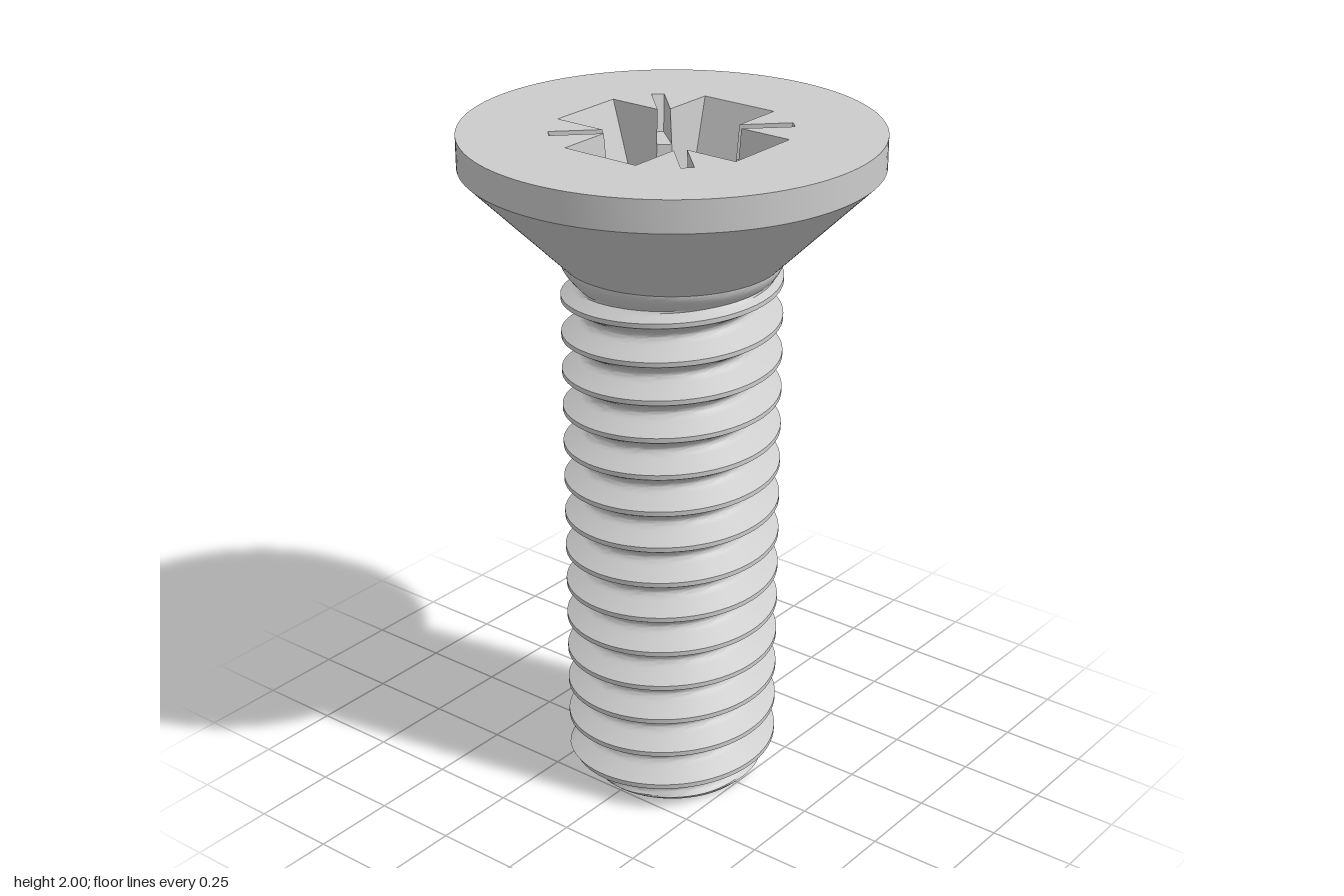
import * as THREE from 'three';
import { toCreasedNormals } from 'three/addons/utils/BufferGeometryUtils.js';

const R = 0.3125, PITCH = 0.1125, ROOT = 0.2435;   // thread sizes
const NECK_Y = 1.635, HEAD_R = 0.5875, RIM_Y = 1.91, TOP_Y = 2;
const SLOT_Y = 1.9, FLOOR_Y = 1.67, PIT_R = 0.157; // recess levels

const material = new THREE.MeshStandardMaterial({ color: 0xcccccc });

function fromTriangles(tris) {
  const g = new THREE.BufferGeometry().setFromPoints(tris);
  g.computeVertexNormals();
  return g;
}

// Radius of the shank at a height, s = distance from the crest in pitches
function threadRadius(s, y) {
  const a = Math.abs(s - Math.round(s));
  let r = R;
  if (a > 0.375) r = 0.2516 - 0.0081 * Math.sin((a - 0.375) / 0.125 * Math.PI / 2);
  else if (a > 0.0625) r = R - (a - 0.0625) / 0.3125 * 0.0609;
  const runout = ROOT + (R - ROOT) * THREE.MathUtils.smoothstep(y, 1.52, NECK_Y);
  return Math.min(Math.max(r, runout), 0.243 + y); // fades into the neck, chamfered tip
}

// Helical grid whose rows follow the crest and root of the thread
function threadGeometry() {
  const cols = 72, crestY = 1.567;
  const half = [0.0625, 0.115, 0.166, 0.22, 0.27, 0.322, 0.375, 0.417, 0.458];
  const steps = [-0.5, ...half.map(v => -v).reverse(), ...half];
  const columns = [];
  for (let i = 0; i <= cols; i++) {
    const turn = i / cols, ang = turn * Math.PI * 2, column = [];
    for (let n = -16; n <= 2; n++) for (const s of steps) {
      const y = THREE.MathUtils.clamp(crestY + PITCH * (turn + n + s), 0, NECK_Y);
      const r = threadRadius((y - crestY) / PITCH - turn, y);
      column.push(new THREE.Vector3(r * Math.cos(ang), y, -r * Math.sin(ang)));
    }
    columns.push(column);
  }
  const tris = [];
  const add = (a, b, c) => {
    if (a.distanceTo(b) > 1e-6 && b.distanceTo(c) > 1e-6 && c.distanceTo(a) > 1e-6) tris.push(a, b, c);
  };
  for (let i = 0; i < cols; i++) {
    const p = columns[i], q = columns[i + 1];
    for (let j = 0; j < p.length - 1; j++) {
      add(p[j], q[j], q[j + 1]);
      add(p[j], q[j + 1], p[j + 1]);
    }
  }
  return toCreasedNormals(fromTriangles(tris), 0.7);
}

// One quarter of an outline, repeated four times around the axis
function fourfold(points) {
  const loop = [];
  for (let q = 0; q < 4; q++) for (const [x, y] of points) {
    loop.push(new THREE.Vector2(x, y).rotateAround(new THREE.Vector2(), q * Math.PI / 2));
  }
  return loop;
}

// Cross outline at t = 0 (top) to 1 (floor), optionally with diagonal slots
function outline(t, slotEnd, slotHalf) {
  const mix = (a, b) => a + (b - a) * t;
  const end = mix(0.305, 0.187), side = mix(0.12, 0.095), notch = mix(0.145, 0.135);
  const pts = [[end, side], [notch, side]];
  if (slotEnd) {
    const d = Math.SQRT1_2;
    pts.push([(slotEnd + slotHalf) * d, (slotEnd - slotHalf) * d]);
    pts.push([(slotEnd - slotHalf) * d, (slotEnd + slotHalf) * d]);
  }
  pts.push([side, notch], [side, end]);
  return fourfold(pts);
}

const at = (p, y) => new THREE.Vector3(p.x, y, -p.y);

// Walls between two loops, facing the axis
function walls(upper, yUpper, lower, yLower) {
  const tris = [];
  upper.forEach((p, i) => {
    const k = (i + 1) % upper.length;
    const a = at(p, yUpper), b = at(upper[k], yUpper);
    const c = at(lower[k], yLower), d = at(lower[i], yLower);
    tris.push(a, b, c, a, c, d);
  });
  return fromTriangles(tris);
}

// Flat horizontal face, facing up
function plate(shape, y) {
  return new THREE.ShapeGeometry(shape, 64).rotateX(-Math.PI / 2).translate(0, y, 0);
}

const lathe = (pts, n) => toCreasedNormals(
  new THREE.LatheGeometry(pts.map(p => new THREE.Vector2(...p)), n).toNonIndexed(), 0.5);

export function createModel() {
  const model = new THREE.Group();
  model.name = 'countersunkScrew';
  const add = (parent, name, geometry) => {
    const mesh = new THREE.Mesh(geometry, material);
    mesh.name = name;
    parent.add(mesh);
  };

  // Threaded shank and its flat tip
  add(model, 'threadedShank', threadGeometry());
  add(model, 'tip', new THREE.CircleGeometry(0.243, 72).rotateX(Math.PI / 2));

  // Countersunk head
  const head = new THREE.Group();
  head.name = 'head';
  model.add(head);
  add(head, 'headSide', lathe([[R, NECK_Y], [HEAD_R, RIM_Y], [HEAD_R, TOP_Y]], 128));
  const topLoop = outline(0, 0.336, 0.018);
  const face = new THREE.Shape().absarc(0, 0, HEAD_R, 0, Math.PI * 2);
  face.holes.push(new THREE.Path(topLoop));
  add(head, 'headTop', plate(face, TOP_Y));

  // Cross recess with four thin diagonal slots
  const recess = new THREE.Group();
  recess.name = 'driveRecess';
  model.add(recess);
  const t = (TOP_Y - SLOT_Y) / (TOP_Y - FLOOR_Y);
  const slotLoop = outline(t, 0.3, 0.012);
  const floorLoop = outline(1);
  add(recess, 'upperWalls', walls(topLoop, TOP_Y, slotLoop, SLOT_Y));
  add(recess, 'lowerWalls', walls(outline(t), SLOT_Y, floorLoop, FLOOR_Y));
  for (let q = 0; q < 4; q++) {
    add(recess, 'slotFloor', plate(new THREE.Shape(slotLoop.slice(q * 6 + 1, q * 6 + 5)), SLOT_Y));
  }

  // Recess floor with a shallow conical pit
  const floor = new THREE.Shape(floorLoop);
  floor.holes.push(new THREE.Path().absarc(0, 0, PIT_R, 0, Math.PI * 2, true));
  add(recess, 'recessFloor', plate(floor, FLOOR_Y));
  add(recess, 'conicalPit', lathe([[PIT_R, FLOOR_Y], [0, FLOOR_Y - 0.08]], 64));

  return model;
}
